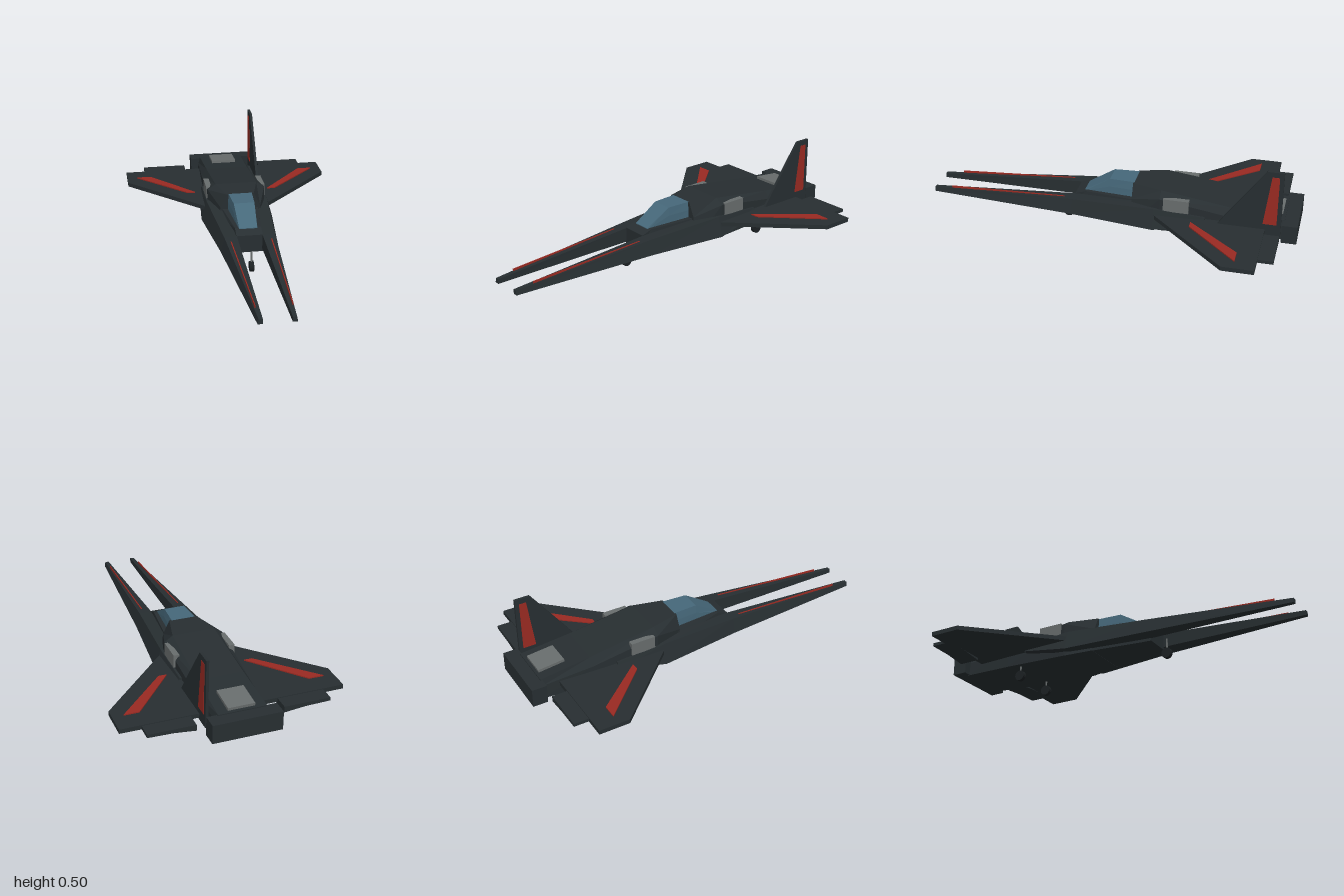
import * as THREE from 'three';

const paint = (color) => new THREE.MeshStandardMaterial({ color, flatShading: true });
const HULL = paint(0x272e31), DARK = paint(0x1c2123), RED = paint(0x992a22);
const GLASS = paint(0x46687a), PANEL = paint(0x686d6d);

// Skin rings of [x, y], listed front to back, counter-clockwise seen from +z.
function loft(sections, side = 1) {
  const rings = sections.map(({ z, ring }) => {
    const r = ring.map(([x, y]) => [x * side, y, z]);
    return side < 0 ? r.reverse() : r;
  });
  const pos = [];
  const tri = (...points) => points.forEach((p) => pos.push(...p));
  const n = rings[0].length;
  for (let i = 0; i < rings.length - 1; i++) {
    for (let j = 0; j < n; j++) {
      const k = (j + 1) % n;
      const a = rings[i][j], b = rings[i][k], c = rings[i + 1][k], d = rings[i + 1][j];
      tri(a, d, c);
      tri(a, c, b);
    }
  }
  const first = rings[0], last = rings[rings.length - 1];
  for (let j = 1; j < n - 1; j++) {
    tri(first[0], first[j], first[j + 1]);
    tri(last[0], last[j + 1], last[j]);
  }
  const g = new THREE.BufferGeometry();
  g.setAttribute('position', new THREE.Float32BufferAttribute(pos, 3));
  g.computeVertexNormals();
  return g;
}

// Symmetric six-sided section: bottom, shoulder and top half-widths with heights.
const rib = (z, xb, yb, xs, ys, xt, yt) => ({
  z, ring: [[-xb, yb], [xb, yb], [xs, ys], [xt, yt], [-xt, yt], [-xs, ys]],
});

function extrude(points, depth) {
  const shape = new THREE.Shape(points.map(([x, y]) => new THREE.Vector2(x, y)));
  return new THREE.ExtrudeGeometry(shape, { depth, bevelEnabled: false });
}

// Flat plate from [x, z] points, between heights y0 and y1.
const plate = (points, y0, y1) =>
  extrude(points.map(([x, z]) => [x, -z]), y1 - y0).rotateX(-Math.PI / 2).translate(0, y0, 0);

// Upright plate from [z, y] points, centred on x.
const upright = (points, x, width) =>
  extrude(points, width).rotateY(-Math.PI / 2).translate(x + width / 2, 0, 0);

export function createModel() {
  const model = new THREE.Group();
  const add = (name, geometry, material) => {
    const mesh = new THREE.Mesh(geometry, material);
    mesh.name = name;
    model.add(mesh);
    return mesh;
  };
  const box = (name, w, h, d, x, y, z, material) => {
    const mesh = add(name, new THREE.BoxGeometry(w, h, d), material);
    mesh.position.set(x, y, z);
    return mesh;
  };

  // Fuselage
  add('nose', loft([
    rib(0.2, 0.07, 0.085, 0.07, 0.14, 0.07, 0.18),
    rib(0.14, 0.08, 0.083, 0.078, 0.15, 0.07, 0.2),
    rib(-0.14, 0.13, 0.077, 0.12, 0.16, 0.1, 0.2),
  ]), HULL);
  add('fuselage', loft([
    rib(-0.12, 0.13, 0.077, 0.11, 0.21, 0.075, 0.285),
    rib(-0.28, 0.16, 0.07, 0.16, 0.255, 0.115, 0.285),
    rib(-0.65, 0.155, 0.085, 0.15, 0.195, 0.12, 0.235),
    rib(-0.93, 0.14, 0.097, 0.135, 0.17, 0.125, 0.205),
  ]), HULL);
  box('engineBlock', 0.36, 0.1, 0.08, 0, 0.15, -0.96, HULL);
  box('topHatch', 0.14, 0.03, 0.145, 0, 0.214, -0.842, PANEL).rotation.x = -0.1;

  // Cockpit glass
  add('canopy', loft([
    rib(0.15, 0.05, 0.185, 0.05, 0.192, 0.048, 0.2),
    rib(0.01, 0.06, 0.19, 0.06, 0.24, 0.056, 0.285),
    rib(-0.125, 0.07, 0.19, 0.069, 0.24, 0.064, 0.286),
  ]), GLASS);

  for (const s of [1, -1]) {
    const side = s > 0 ? 'left' : 'right';

    // Long forward prong, faired into the wing root
    add(side + 'Prong', loft([
      { z: 1, ring: [[0.07, 0.1], [0.095, 0.1], [0.09, 0.125], [0.07, 0.125]] },
      { z: 0.2, ring: [[0.066, 0.1], [0.155, 0.098], [0.135, 0.178], [0.068, 0.178]] },
      { z: -0.25, ring: [[0.07, 0.09], [0.2, 0.09], [0.17, 0.198], [0.1, 0.2]] },
      { z: -0.52, ring: [[0.08, 0.12], [0.18, 0.14], [0.165, 0.18], [0.1, 0.18]] },
    ], s), HULL);
    add(side + 'ProngStripe', loft([
      { z: 0.9, ring: [[0.088, 0.125], [0.092, 0.125], [0.092, 0.144], [0.088, 0.144]] },
      { z: 0.25, ring: [[0.104, 0.15], [0.11, 0.15], [0.11, 0.177], [0.104, 0.177]] },
    ], s), RED);

    // Wing, its stripe and rear flap
    add(side + 'Wing', plate([[0.1, -0.2], [0.185, -0.26], [0.58, -0.67],
      [0.58, -0.835], [0.1, -0.835]].map(([x, z]) => [x * s, z]), 0.145, 0.168), HULL);
    add(side + 'WingStripe', plate([[0.21, -0.455], [0.254, -0.455], [0.524, -0.73],
      [0.444, -0.73]].map(([x, z]) => [x * s, z]), 0.16, 0.174), RED);
    add(side + 'Flap', extrude([[0.225, 0.132], [0.34, 0.144], [0.47, 0.147],
      [0.47, 0.164], [0.225, 0.164]].map(([x, y]) => [x * s, y]), 0.115)
      .translate(0, 0, -0.915), HULL);

    // Panel on the fuselage flank
    box(side + 'SidePanel', 0.03, 0.07, 0.135, s * 0.15, 0.226, -0.367, PANEL);
  }

  // Single tail fin on the left
  add('tailFin', upright([[-0.59, 0.165], [-0.635, 0.232], [-0.83, 0.5],
    [-0.915, 0.5], [-0.915, 0.135], [-0.83, 0.135]], 0.175, 0.014), HULL);
  add('tailFinStripe', upright([[-0.822, 0.2], [-0.855, 0.472],
    [-0.893, 0.472], [-0.893, 0.2]], 0.175, 0.018), RED);

  // Landing gear
  for (const [name, x, z] of [['nose', 0, 0.255], ['left', 0.125, -0.58], ['right', -0.125, -0.58]]) {
    const wheel = add(name + 'Wheel',
      new THREE.CylinderGeometry(0.028, 0.028, 0.022, 16).rotateZ(Math.PI / 2), DARK);
    wheel.position.set(x, 0.028, z);
    const strut = add(name + 'Strut', new THREE.CylinderGeometry(0.005, 0.005, 0.08, 8), PANEL);
    strut.position.set(x, 0.07, z);
  }
  return model;
}
